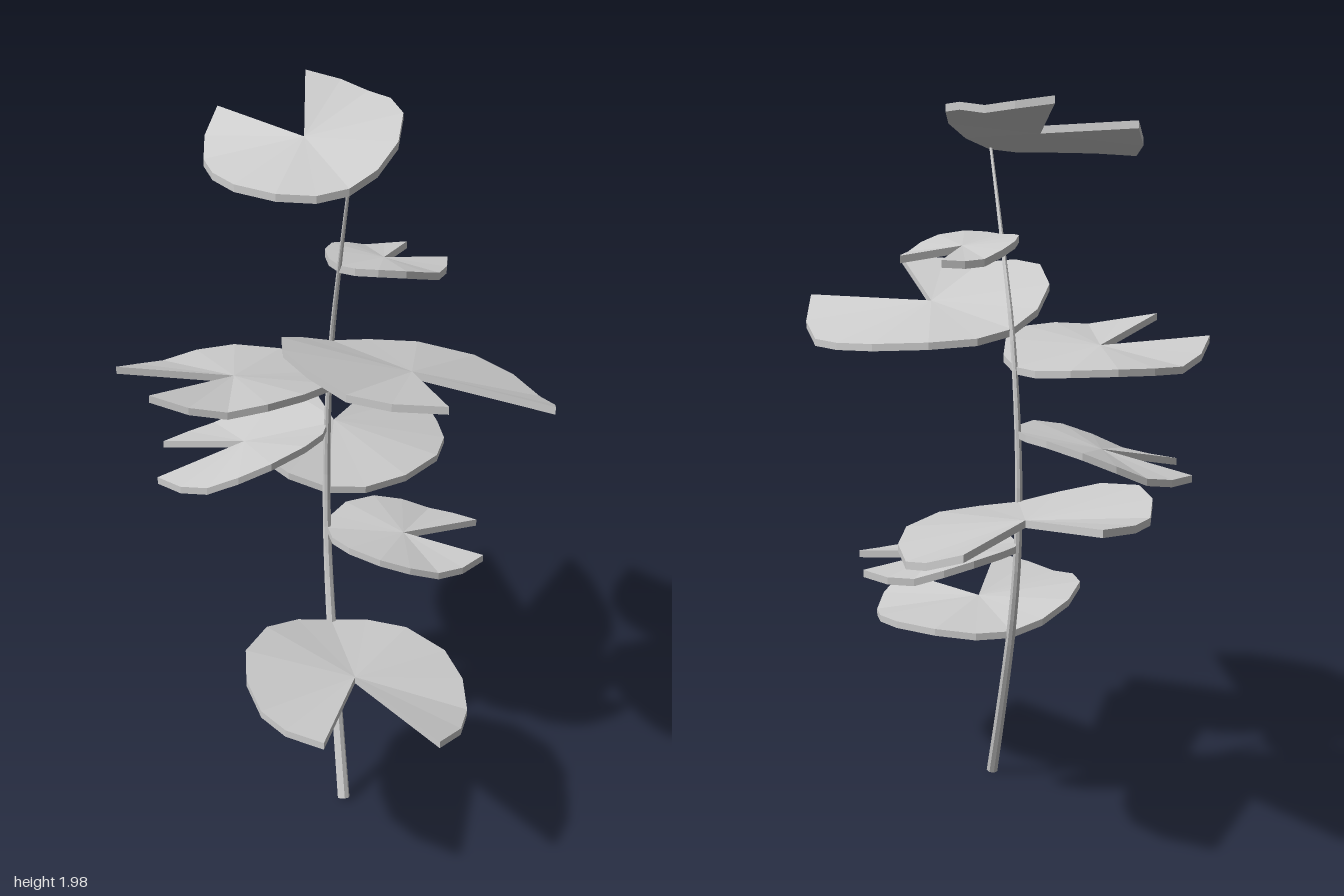
import * as THREE from 'three';

const material = new THREE.MeshStandardMaterial({ color: 0xcccccc, flatShading: true, side: THREE.DoubleSide });
const V = (x, y, z) => new THREE.Vector3(x, y, z);

// Half outline of a notched round leaf: angle from its axis, radius, ripple height
const HALF = [
  [25, 1.12, 0], [45, 1.03, -0.06], [65, 0.96, -0.08], [88, 0.93, 0],
  [112, 0.94, 0.06], [140, 0.97, 0.07], [162, 1, 0.03], [180, 1, 0],
];
const OUTLINE = [...HALF, ...HALF.slice(0, -1).reverse().map(([a, r, h]) => [360 - a, r, h])];
const THICKNESS = 0.02;

// Leaves: stem joint, middle between the two tips, sideways roll
const LEAVES = [
  { joint: [0.05, 0.49, 0.05], tip: [0.05, 0.522, 0.695], roll: 0.037 },
  { joint: [0.05, 0.762, 0], tip: [0.47, 0.728, 0.075], roll: 0 },
  { joint: [0.05, 0.882, -0.02], tip: [0.23, 0.955, -0.7], roll: -0.055 },
  { joint: [0.05, 1.078, -0.02], tip: [-0.4, 0.968, -0.11], roll: 0 },
  { joint: [0.05, 1.25, 0.01], tip: [-0.49, 1.325, 0.132], roll: -0.03 },
  { joint: [0.05, 1.35, 0.035], tip: [0.33, 1.435, 0.68], roll: 0.09 },
  { joint: [0.05, 1.598, 0.13], tip: [0.322, 1.56, -0.037], roll: 0 },
  { joint: [0.05, 1.84, 0.238], tip: [-0.075, 1.948, -0.285], roll: 0.065 },
];

function makeLeaf({ joint, tip, roll }) {
  const start = V(...joint);
  const along = V(...tip).sub(start).divideScalar(2.015);
  const across = V(-along.z, roll / 0.93, along.x);
  const size = Math.hypot(along.x, along.z);
  const centre = start.clone().add(along);

  // Closed loop: notch, then round the rim
  const top = [centre];
  for (const [deg, r, h] of OUTLINE) {
    const a = THREE.MathUtils.degToRad(deg);
    const p = centre.clone()
      .addScaledVector(along, r * Math.cos(a))
      .addScaledVector(across, r * Math.sin(a));
    p.y += h * size;
    top.push(p);
  }
  const bottom = top.map((p) => p.clone().setY(p.y - THICKNESS));

  const corners = [];
  const n = top.length;
  for (let i = 0; i < n; i++) {
    const j = (i + 1) % n;
    if (i > 0 && j > 0) {
      corners.push(top[0], top[j], top[i]);
      corners.push(bottom[0], bottom[i], bottom[j]);
    }
    corners.push(top[i], top[j], bottom[i], top[j], bottom[j], bottom[i]);
  }
  const geometry = new THREE.BufferGeometry().setFromPoints(corners);
  geometry.computeVertexNormals();
  return new THREE.Mesh(geometry, material);
}

// Bowed stem, tapered toward the top
function makeStem() {
  const curve = new THREE.CatmullRomCurve3([
    V(0.05, 0.007, 0.24), V(0.05, 0.25, 0.14), V(0.05, 0.5, 0.047), V(0.05, 0.72, -0.008),
    V(0.05, 0.92, -0.024), V(0.05, 1.15, -0.005), V(0.05, 1.35, 0.036), V(0.05, 1.6, 0.13),
    V(0.05, 1.84, 0.23),
  ]);
  const steps = 24, sides = 8, radius = 0.017;
  const geometry = new THREE.TubeGeometry(curve, steps, radius, sides);
  const pos = geometry.attributes.position;
  const p = V(0, 0, 0);
  for (let i = 0; i < pos.count; i++) {
    const t = Math.floor(i / (sides + 1)) / steps;
    const c = curve.getPointAt(t);
    p.fromBufferAttribute(pos, i).sub(c).multiplyScalar(1 - 0.75 * t).add(c);
    pos.setXYZ(i, p.x, p.y, p.z);
  }
  geometry.computeVertexNormals();
  const stem = new THREE.Group();
  stem.name = 'stem';
  const shaft = new THREE.Mesh(geometry, material);
  shaft.name = 'stemShaft';

  // Cut end at the foot
  const cap = new THREE.Mesh(new THREE.CircleGeometry(radius, sides), material);
  cap.name = 'stemFoot';
  cap.position.copy(curve.getPointAt(0));
  cap.lookAt(cap.position.clone().sub(curve.getTangentAt(0)));
  stem.add(shaft, cap);
  return stem;
}

export function createModel() {
  const plant = new THREE.Group();
  plant.name = 'plant';
  plant.add(makeStem());
  LEAVES.forEach((spec, i) => {
    const leaf = makeLeaf(spec);
    leaf.name = `leaf${i + 1}`;
    plant.add(leaf);
  });
  return plant;
}
